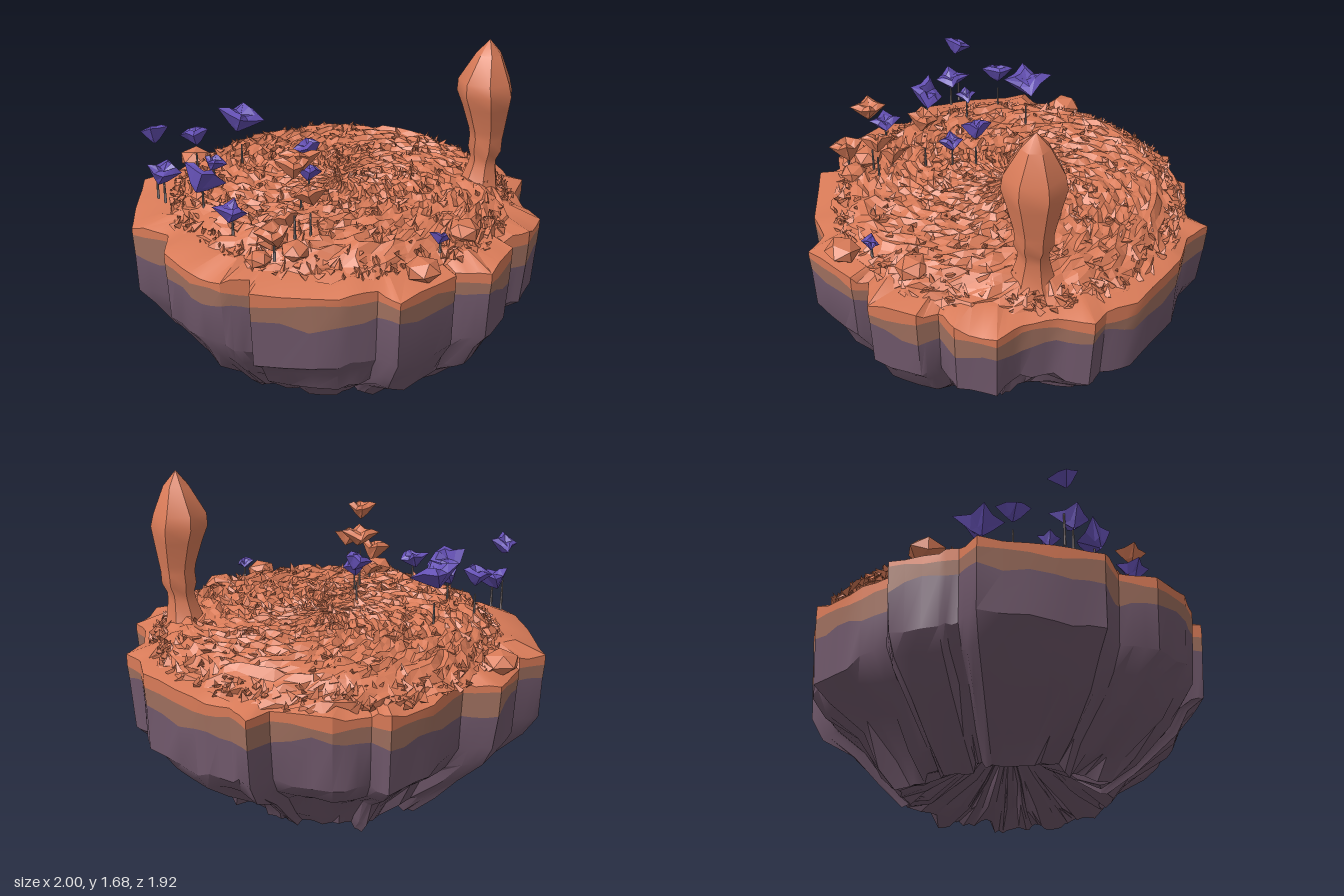
import * as THREE from 'three';
import { mergeGeometries, toCreasedNormals } from 'three/addons/utils/BufferGeometryUtils.js';

const mat = (name, color, flatShading = false, side = THREE.FrontSide) => {
  const m = new THREE.MeshStandardMaterial({ color, flatShading, side });
  m.name = name;
  return m;
};
const V = (x, y, z) => new THREE.Vector3(x, y, z);

// repeatable noise in 0..1
const hash = (a, b = 0, c = 0) => {
  const s = Math.sin(a * 127.1 + b * 311.7 + c * 74.7) * 43758.5453;
  return s - Math.floor(s);
};

// skin closed rings, listed from underneath, up the outside, to the top
function loft(rings) {
  const n = rings[0].length, pos = [], idx = [];
  rings.forEach(r => r.forEach(p => pos.push(p.x, p.y, p.z)));
  for (let k = 0; k < rings.length - 1; k++) for (let i = 0; i < n; i++) {
    const j = (i + 1) % n, a = k * n + i, b = a + n, c = k * n + j, d = c + n;
    idx.push(a, b, c, c, b, d);
  }
  const g = new THREE.BufferGeometry();
  g.setAttribute('position', new THREE.Float32BufferAttribute(pos, 3));
  g.setIndex(idx);
  g.computeVertexNormals();
  return g;
}

// jagged island edge as x, z pairs
const EDGE = [[-.18, -.96], [-.1, -.92], [.07, -.96], [.33, -.87], [.43, -.95], [.5, -.82], [.66, -.73],
  [.9, -.45], [.93, -.3], [1, -.23], [.93, -.08], [.94, .08], [1, .2], [.91, .37], [.78, .42], [.8, .52],
  [.67, .72], [.51, .7], [.5, .78], [.24, .96], [.15, .88], [-.02, .92], [-.4, .87], [-.4, .77],
  [-.53, .77], [-.67, .68], [-.8, .5], [-.8, .32], [-.99, .2], [-1, -.02], [-1, -.35], [-.86, -.4],
  [-.84, -.48], [-.71, -.68], [-.54, -.66], [-.38, -.82]];
const SUB = 3;
const outline = EDGE.flatMap(([x, z], i) => {
  const [x2, z2] = EDGE[(i + 1) % EDGE.length];
  return Array.from({ length: SUB }, (_, k) => [x + (x2 - x) * k / SUB, z + (z2 - z) * k / SUB]);
});
// ring of the island: scale and height may depend on angle and index
const ring = (scale, height) => outline.map(([x, z], i) => {
  const a = Math.atan2(z, x), s = scale(a, i), y = height(a, i);
  return V(x * s, y, z * s);
});
const wave = (a, p) => Math.sin(a * 5 + p) * .5 + Math.sin(a * 11 + p * 2) * .3 + Math.sin(a * 23 + p) * .25;

const grassRadius = .87;
const grassHeight = r => .88 + .09 * Math.min(1, (1 - r) * 6) + .03 * (1 - r * r);

// crumpled blossom: pointed cup with ragged petals
function blossom(r, seed) {
  const n = 8;
  const make = (f, h) => Array.from({ length: n }, (_, i) => {
    const a = i / n * Math.PI * 2, q = f * r * (i % 2 ? .68 : 1.05) * (.8 + .4 * hash(i, seed));
    return V(Math.cos(a) * q, r * (h + (f > .5 ? .5 * (hash(seed, i) - .4) : 0)), Math.sin(a) * q);
  });
  const g = loft([make(.06, -.75), make(.4, -.45), make(1, .15), make(.55, .3), make(.02, .12)]);
  g.rotateZ((hash(seed, 5) - .5) * .9);
  g.rotateX((hash(seed, 9) - .5) * .9);
  return g;
}

export function createModel() {
  const root = new THREE.Group();
  const orange = mat('orange moss', 0xd97b58, true, THREE.DoubleSide);
  const orangeSmooth = mat('smooth orange', 0xd97b58);
  const earth = mat('brown earth', 0xa0705f);
  const rock = mat('purple grey rock', 0x71596c);
  const violet = mat('violet petals', 0x6450b4, true, THREE.DoubleSide);
  const grey = mat('grey stem', 0x857a7c);
  const add = (name, geo, material, parent = root) => {
    const m = new THREE.Mesh(geo, material);
    m.name = name;
    parent.add(m);
    return m;
  };
  const creased = (rings, angle = .55) => toCreasedNormals(loft(rings), angle);

  // rocky body, narrowing to a hollow foot
  const corner = i => Math.floor(i / SUB);
  const rough = (i, k, amt) => (hash(corner(i), k) - .5) * amt + (hash(i, k) - .5) * amt * .3;
  const dent = (a, at, w) => Math.exp(-(((a - at) / w) ** 2));
  const rim = ring(() => 1, (a, i) => .855 + rough(i, 1, .03));
  const bandTop = ring(() => 1, a => .805 + .022 * wave(a, 1));
  const bandLow = ring(() => .995, a => .715 + .045 * wave(a, 2.4));
  const foot = ring((a, i) => .53 + rough(i, 6, .08), (a, i) => .045 + rough(i, 7, .06));
  const hole = ring(() => .13, () => .27);
  add('rockBody', creased([
    hole,
    ring((a, i) => .24 + rough(i, 9, .06), () => .2),
    ring((a, i) => .4 + rough(i, 8, .08), (a, i) => .1 + rough(i, 3, .05)),
    foot,
    ring((a, i) => .64 + rough(i, 5, .07), (a, i) => .14 + rough(i, 2, .05)),
    ring((a, i) => .82 + .06 * Math.sin(a) + rough(i, 4, .07) - .16 * dent(a, .15, .22), (a, i) => .3 + rough(i, 12, .06)),
    ring((a, i) => .92 + rough(i, 4, .04) - .14 * dent(a, .15, .25), (a, i) => .41 + rough(i, 11, .04)),
    ring((a, i) => .985 + rough(i, 13, .02), (a, i) => .5 + rough(i, 10, .06)),
    bandLow]), rock);
  add('earthBand', creased([bandLow, bandTop]), earth);
  add('mossRim', creased([bandTop, rim,
    ring(() => .86, (a, i) => .9 + rough(i, 15, .03)), ring(() => .7, () => .9)]), orangeSmooth);
  add('hollowCore', creased([ring(() => .001, () => .275), ring(() => .14, () => .275)]), orangeSmooth);

  // bumpy moss dome
  const rows = 30, cols = 84, cx = .03, cz = -.05;
  const dome = [];
  for (let k = 0; k <= rows; k++) {
    const t = Math.max(.002, 1 - k / rows);
    dome.push(Array.from({ length: cols }, (_, i) => {
      const a = (i + .5 * hash(i, k)) / cols * Math.PI * 2;
      const r = grassRadius * t * (1 + (k < 3 ? .05 * (hash(i, k, 3) - .5) : 0));
      return V(cx + Math.cos(a) * r, grassHeight(t) + (hash(i, k, 7) - .5) * .035 * Math.min(1, t * 4), cz + Math.sin(a) * r);
    }));
  }
  add('mossDome', loft(dome), orange);

  // small moss spikes, thicker round the edge
  const spikes = [];
  for (let i = 0; i < 750; i++) {
    const t = i < 330 ? .9 + .1 * hash(i, 1) : Math.sqrt(hash(i, 1)) * .92;
    const a = hash(i, 2) * Math.PI * 2;
    const g = new THREE.ConeGeometry(.014 + .014 * hash(i, 3), .04 + .035 * hash(i, 4), 3);
    g.rotateX((hash(i, 5) - .5) * 2);
    g.rotateZ((hash(i, 6) - .5) * 2);
    g.translate(cx + Math.cos(a) * t * grassRadius, grassHeight(t) + .006, cz + Math.sin(a) * t * grassRadius);
    spikes.push(g);
  }
  add('mossSpikes', mergeGeometries(spikes), orange);

  // loose lumps along the front edge: x, y, z, size
  [[-.3, .99, .62, .08], [-.2, .97, .7, .07], [-.36, .93, .7, .06], [.57, .95, .5, .085], [.35, .92, .8, .085],
    [-.1, .95, .58, .06], [-.74, .9, -.52, .09]].forEach(([x, y, z, s], k) => {
    const g = new THREE.IcosahedronGeometry(s, 0);
    g.scale(1, .65, 1);
    g.rotateY(k * 1.3);
    g.translate(x, y, z);
    add('mossLump', g, orange);
  });

  // bulbous spire
  const spire = new THREE.LatheGeometry([[.16, .88], [.105, .95], [.075, 1.06], [.07, 1.1], [.09, 1.15], [.088, 1.21],
    [.095, 1.25], [.125, 1.37], [.145, 1.44], [.135, 1.5], [.065, 1.63], [0, 1.7]].map(p => new THREE.Vector2(...p)), 7);
  const p = spire.attributes.position;
  for (let i = 0; i < p.count; i++) {
    const y = p.getY(i);
    p.setX(i, p.getX(i) * .95 + (y < 1.6 ? -.015 * Math.sin(y * 9) : 0));
  }
  spire.translate(.735, 0, -.01);
  add('spire', toCreasedNormals(spire, .7), orangeSmooth);

  // blossoms on thin stems: x, y, z, size
  const plant = (name, list, material, offset) => list.forEach(([x, y, z, s], k) => {
    const group = new THREE.Group();
    group.name = name;
    root.add(group);
    add('blossom', blossom(s, k + offset), material, group).position.set(x, y, z);
    const h = Math.max(.03, Math.min(y - .93, .16));
    const stem = new THREE.CylinderGeometry(.004, .007, h, 4);
    add('stem', stem, grey, group).position.set(x, .93 + h / 2, z);
  });
  plant('violetFlower', [[-.47, 1.24, -.24, .105], [-.69, 1.19, -.13, .075], [-.87, 1.28, .06, .07],
    [-.83, 1.09, .11, .09], [-.59, 1.12, .06, .06], [-.63, 1.13, .27, .095], [-.48, 1.07, .51, .075],
    [-.13, 1.2, .09, .07], [-.13, 1.13, .21, .065], [.44, 1.01, .67, .045]], violet, 1);
  plant('orangeFlower', [[-.2, 1.33, .6, .08], [-.13, 1.18, .58, .07], [-.17, 1.26, .34, .085],
    [-.29, 1.06, .72, .09], [-.24, 1.03, .5, .07]], orange, 30);

  return root;
}
